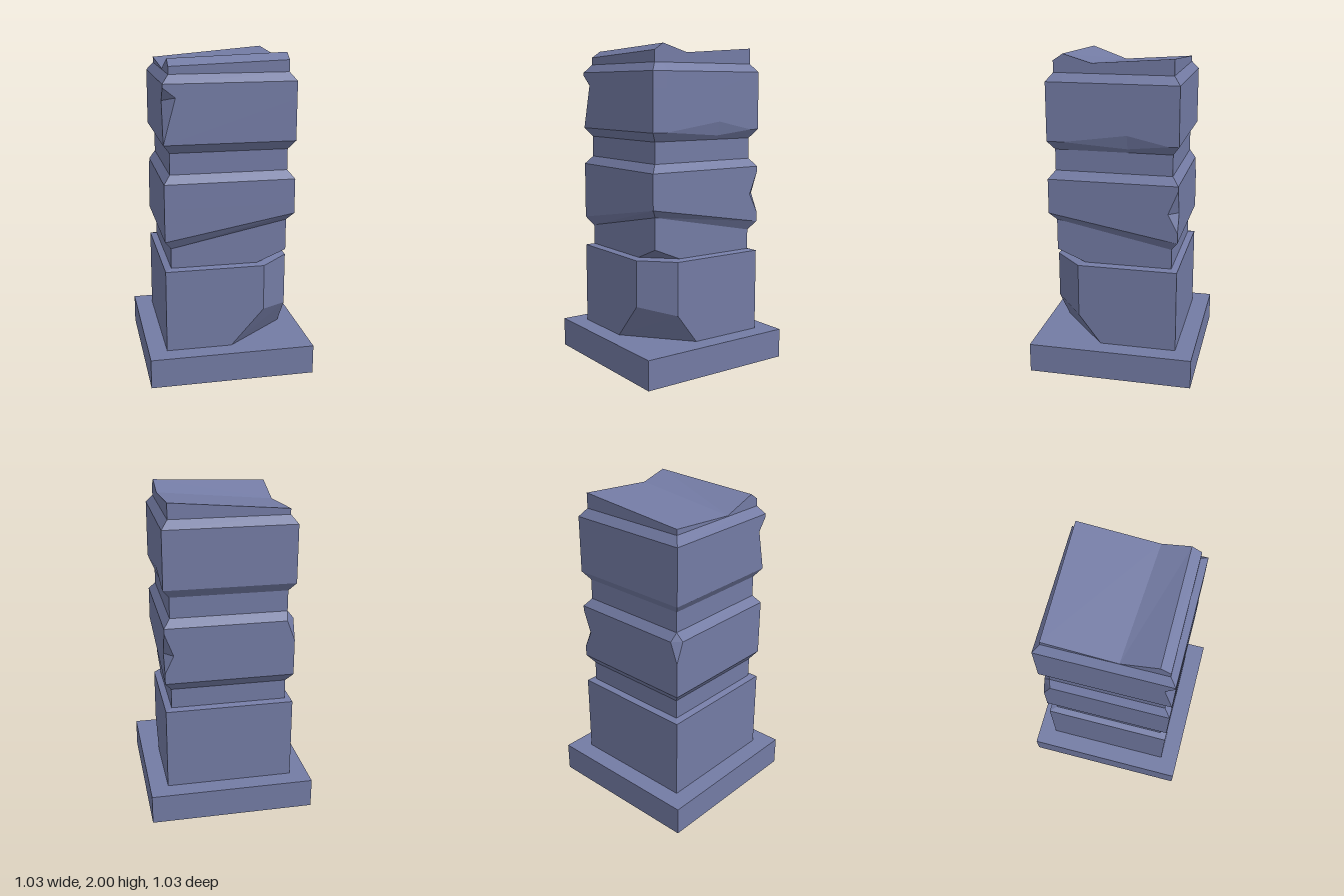
import * as THREE from 'three';

const CORNERS = [[-1, 1], [1, 1], [1, -1], [-1, -1]]; // frontLeft, frontRight, backRight, backLeft as [x, z]

// Square cross-section with two points per corner, so any corner can be chipped.
// y: one height or one per corner; cuts: { corner: [before, after, yBefore, yAfter] };
// dent: height and x of the middle of the +x side, when that side is subdivided.
function section(h, y, cuts = {}, dent = null) {
  const ring = [];
  CORNERS.forEach(([cx, cz], i) => {
    const yc = Array.isArray(y) ? y[i] : y;
    const [a, b, ya = yc, yb = yc] = cuts[i] ?? [0, 0];
    const prev = CORNERS[(i + 3) % 4], next = CORNERS[(i + 1) % 4];
    const toward = (n, d, py) => new THREE.Vector3(
      cx * h + (n[0] - cx) / 2 * d, py, cz * h + (n[1] - cz) / 2 * d);
    ring.push(toward(prev, a, ya), toward(next, b, yb));
    if (dent && i === 1) {
      ring.push(new THREE.Vector3(h, yc, 0.3),
        new THREE.Vector3(dent[0], dent[1], -0.09),
        new THREE.Vector3(h, yc, -0.34));
    }
  });
  return ring;
}

// Faceted surface through consecutive rings; collapsed triangles are dropped.
function skin(rings) {
  const pos = [];
  const tri = (a, b, c) => {
    const area = b.clone().sub(a).cross(c.clone().sub(a)).length();
    if (area > 1e-7) for (const p of [a, b, c]) pos.push(p.x, p.y, p.z);
  };
  for (let k = 0; k + 1 < rings.length; k++) {
    const r = rings[k], s = rings[k + 1];
    for (let i = 0; i < r.length; i++) {
      const j = (i + 1) % r.length;
      tri(r[i], r[j], s[j]);
      tri(r[i], s[j], s[i]);
    }
  }
  const geo = new THREE.BufferGeometry();
  geo.setAttribute('position', new THREE.Float32BufferAttribute(pos, 3));
  geo.computeVertexNormals();
  return geo;
}

export function createModel() {
  const group = new THREE.Group();
  const stone = new THREE.MeshStandardMaterial({ color: 0x737ba4, flatShading: true, side: THREE.DoubleSide });
  const add = (name, geo) => {
    const mesh = new THREE.Mesh(geo, stone);
    mesh.name = name;
    group.add(mesh);
    return mesh;
  };

  // Square plinth
  add('plinth', new THREE.BoxGeometry(1.03, 0.185, 1.03)).position.y = 0.0925;

  // Lower block with a broken, undercut front corner
  const neckChip = { 1: [0.18, 0.18] };
  add('lowerBlock', skin([
    section(0.4, 0.185, { 1: [0.39, 0.32] }),
    section(0.4, 0.4, { 1: [0.185, 0.18, 0.415, 0.37] }),
    section(0.4, 0.705, { 1: [0.185, 0.18] }),
    section(0.36, 0.715, neckChip),
  ]));

  // Lower neck, its top rising to one corner
  const neckTop = [0.84, 0.985, 0.84, 0.84];
  add('lowerNeck', skin([
    section(0.36, 0.715, neckChip),
    section(0.36, 0.79),
    section(0.36, neckTop),
  ]));

  // Middle block with chips on both back corners
  add('middleBlock', skin([
    section(0.36, neckTop),
    section(0.4, [0.895, 1.035, 0.895, 0.895]),
    section(0.4, [0.96, 1.05, 0.96, 1.0]),
    section(0.4, [1.1, 1.1, 1.075, 1.12], { 2: [0.06, 0.055] }),
    section(0.4, [1.2, 1.2, 1.22, 1.25], { 3: [0.05, 0.05] }),
    section(0.4, 1.25, { 3: [0.05, 0.05] }),
    section(0.36, 1.3),
  ]));

  // Upper neck
  add('upperNeck', skin([section(0.36, 1.3), section(0.36, 1.43)]));

  // Upper block with a dented lower edge and a chipped front corner
  add('upperBlock', skin([
    section(0.36, 1.43, {}, [0.36, 1.43]),
    section(0.4, 1.485, {}, [0.378, 1.455]),
    section(0.4, 1.485, {}, [0.4, 1.54]),
    section(0.4, 1.74, { 0: [0.055, 0.075, 1.74, 1.76] }, [0.4, 1.74]),
    section(0.4, 1.82, {}, [0.4, 1.82]),
    section(0.4, 1.84, {}, [0.4, 1.84]),
    section(0.36, 1.89, {}, [0.36, 1.89]),
  ]));

  // Broken top: a ridge and valley profile lofted from side to side
  const profile = (x, pts) => [[0.36, 1.89], [-0.36, 1.89], ...pts].map(([z, y]) => new THREE.Vector3(x, y, z));
  const left = profile(-0.36, [[-0.36, 1.925], [0.08, 1.895], [0.3, 1.975], [0.36, 1.935]]);
  const right = profile(0.36, [[-0.36, 1.985], [0.13, 1.95], [0.3, 2.0], [0.36, 1.96]]);
  const hub = (ring, z) => ring.map((p) => new THREE.Vector3(p.x, 1.89, z));
  add('brokenTop', skin([hub(left, 0.08), left, right, hub(right, 0.13)]));

  return group;
}
